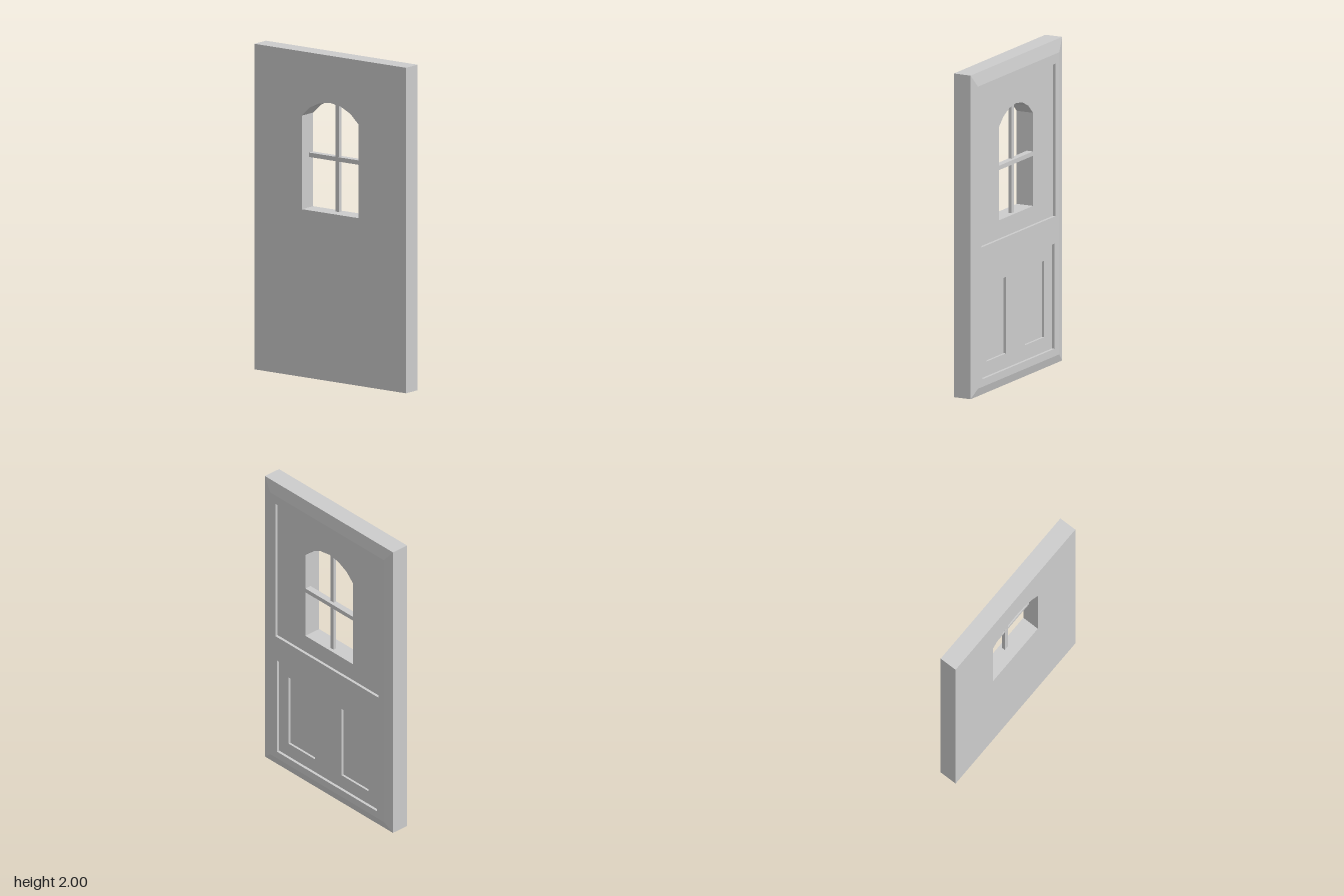
import * as THREE from 'three';

// Local drawing plane: u (right), y (up), depth (towards the panelled face).
const BACK = -0.065, EDGE = 0.05, FRONT = 0.065, PANEL = 0.047, INSET = 0.032;

const rect = (u0, u1, y0, y1) => [[u0, y0], [u1, y0], [u1, y1], [u0, y1]];

// Window opening: straight sides with a shallow faceted arch
function archOutline(half, bottom, spring, rise, segments) {
  const r = (half * half + rise * rise) / (2 * rise);
  const cy = spring + rise - r;
  const a = Math.asin(half / r);
  const pts = [[-half, bottom], [half, bottom]];
  for (let i = 0; i <= segments; i++) {
    const t = a - (2 * a * i) / segments;
    pts.push([r * Math.sin(t), cy + r * Math.cos(t)]);
  }
  return pts;
}

export function createModel() {
  const paint = new THREE.MeshStandardMaterial({ color: 0xcccccc });
  paint.name = 'light grey';

  const door = new THREE.Group();
  door.name = 'door';
  const add = (name, geometry) => {
    const mesh = new THREE.Mesh(geometry, paint);
    mesh.name = name;
    door.add(mesh);
    return mesh;
  };

  // Flat face with holes at a given depth
  function face(name, outline, holes, depth, flip = false) {
    const toV = (pts) => pts.map(([u, y]) => new THREE.Vector2(u, y));
    const shape = new THREE.Shape(toV(outline));
    for (const h of holes) shape.holes.push(new THREE.Path(toV(h)));
    const geo = new THREE.ShapeGeometry(shape);
    if (flip) {
      const idx = geo.index.array;
      for (let i = 0; i < idx.length; i += 3) [idx[i], idx[i + 1]] = [idx[i + 1], idx[i]];
      geo.computeVertexNormals();
    }
    geo.translate(0, 0, depth);
    add(name, geo);
  }

  // Wall between two matching loops; back to front faces outwards, front to back inwards
  function wall(name, a, da, b, db) {
    const pos = [];
    a.forEach((p, i) => {
      const j = (i + 1) % a.length;
      const A = [...p, da], B = [...a[j], da], C = [...b[j], db], D = [...b[i], db];
      pos.push(...A, ...B, ...C, ...A, ...C, ...D);
    });
    const geo = new THREE.BufferGeometry();
    geo.setAttribute('position', new THREE.Float32BufferAttribute(pos, 3));
    geo.computeVertexNormals();
    add(name, geo);
  }

  const outer = rect(-0.575, 0.575, 0, 2);
  const inner = rect(-0.51, 0.51, 0.053, 1.92);
  const upper = rect(-0.464, 0.464, 0.917, 1.86);
  const lower = rect(-0.45, 0.45, 0.1, 0.75);
  const small = [rect(-0.367, -0.127, 0.19, 0.662), rect(0.112, 0.352, 0.19, 0.662)];
  const opening = archOutline(0.215, 1.03, 1.605, 0.105, 6);

  // Slab with bevelled rim
  face('backFace', outer, [opening], BACK, true);
  wall('slabEdge', outer, BACK, outer, EDGE);
  wall('rimBevel', outer, EDGE, inner, FRONT);
  face('frontFace', inner, [upper, lower], FRONT);

  // Recessed upper panel and window opening
  wall('upperPanelEdge', upper, FRONT, upper, PANEL);
  face('upperPanel', upper, [opening], PANEL);
  wall('windowJamb', opening, PANEL, opening, BACK);

  // Recessed lower panel with two deeper insets
  wall('lowerPanelEdge', lower, FRONT, lower, PANEL);
  face('lowerPanel', lower, small, PANEL);
  for (const s of small) {
    wall('insetEdge', s, PANEL, s, INSET);
    face('insetPanel', s, [], INSET);
  }

  // Window bars
  add('verticalBar', new THREE.BoxGeometry(0.03, 0.68, 0.02)).position.set(0, 1.37, 0.015);
  add('horizontalBar', new THREE.BoxGeometry(0.43, 0.027, 0.042)).position.set(0, 1.353, 0.025);

  // Turn the panelled face towards +x
  door.rotation.y = Math.PI / 2;
  const model = new THREE.Group();
  model.name = 'panelledDoor';
  model.add(door);
  return model;
}
